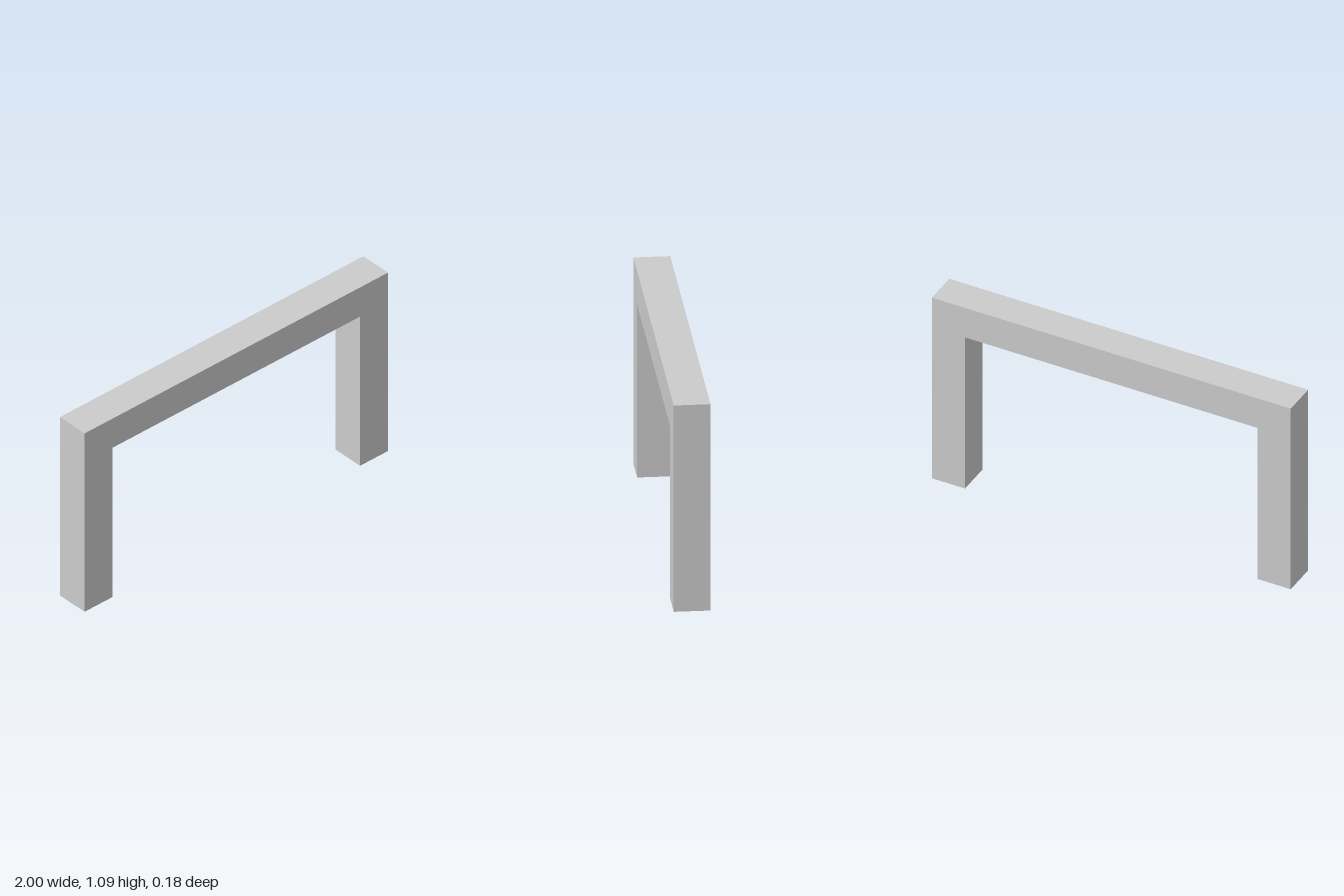
import * as THREE from 'three';

const HALF_WIDTH = 1;
const HEIGHT = 1.09;
const INNER_HALF = 0.815;
const UNDERSIDE = 0.912;
const DEPTH = 0.182;

export function createModel() {
  const group = new THREE.Group();
  group.name = 'archway';

  // One continuous square-cornered frame: two legs joined by a top beam
  const outline = new THREE.Shape([
    [-HALF_WIDTH, 0], [-INNER_HALF, 0], [-INNER_HALF, UNDERSIDE], [INNER_HALF, UNDERSIDE],
    [INNER_HALF, 0], [HALF_WIDTH, 0], [HALF_WIDTH, HEIGHT], [-HALF_WIDTH, HEIGHT],
  ].map(([x, y]) => new THREE.Vector2(x, y)));

  const geometry = new THREE.ExtrudeGeometry(outline, { depth: DEPTH, bevelEnabled: false });
  geometry.translate(0, 0, -DEPTH / 2);

  const material = new THREE.MeshStandardMaterial({ color: 0xcccccc, flatShading: true });
  const frame = new THREE.Mesh(geometry, material);
  frame.name = 'frame';
  group.add(frame);
  return group;
}
